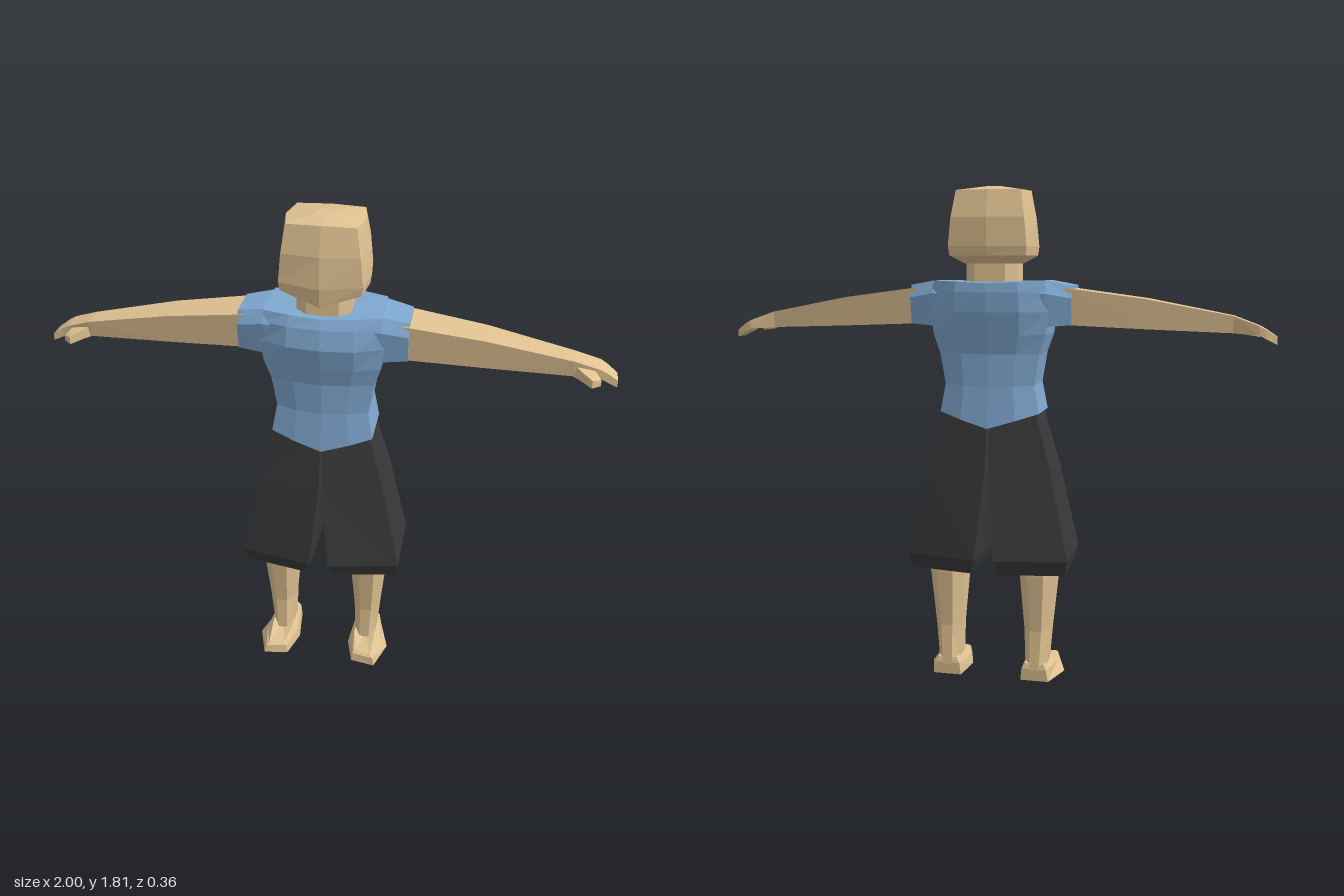
import * as THREE from 'three';

const paint = (color) => new THREE.MeshStandardMaterial({ color, flatShading: true });

// Closed solid through a series of rings; the winding is turned outwards by signed volume.
function loft(rings) {
  const tris = [];
  const n = rings[0].length;
  const centre = (r) => [0, 1, 2].map((k) => r.reduce((sum, p) => sum + p[k], 0) / n);
  const first = rings[0], last = rings[rings.length - 1];
  const c0 = centre(first), c1 = centre(last);
  for (let j = 0; j < n; j++) {
    const k = (j + 1) % n;
    for (let i = 0; i < rings.length - 1; i++) {
      const a = rings[i], b = rings[i + 1];
      tris.push([a[j], a[k], b[k]], [a[j], b[k], b[j]]);
    }
    tris.push([first[k], first[j], c0], [last[j], last[k], c1]);
  }
  let volume = 0;
  for (const [a, b, c] of tris) {
    volume += a[0] * (b[1] * c[2] - b[2] * c[1])
      + a[1] * (b[2] * c[0] - b[0] * c[2])
      + a[2] * (b[0] * c[1] - b[1] * c[0]);
  }
  if (volume < 0) tris.forEach((t) => t.reverse());
  const geo = new THREE.BufferGeometry();
  geo.setAttribute('position', new THREE.Float32BufferAttribute(tris.flat(2), 3));
  geo.computeVertexNormals();
  return geo;
}

// Full ring from the +x half, listed from front centre to back centre.
const symmetric = (half) => [
  ...half,
  ...half.slice(1, -1).reverse().map(([x, y, z]) => [-x, y, z]),
];

// Octagonal horizontal ring with cut corners.
function octagon(y, x0, x1, z0, z1, cut = 0.28) {
  const cx = (x1 - x0) * cut, cz = (z1 - z0) * cut;
  return [
    [x0 + cx, y, z1], [x1 - cx, y, z1], [x1, y, z1 - cz], [x1, y, z0 + cz],
    [x1 - cx, y, z0], [x0 + cx, y, z0], [x0, y, z0 + cz], [x0, y, z1 - cz],
  ];
}

// Four-cornered ring across the arm, a little narrower underneath.
const armRing = ([x, y0, y1, z0, z1, under = 0.85]) => [
  [x, y1, z1], [x, y1, z0], [x, y0, z0 * under], [x, y0, z1 * under],
];

export function createModel() {
  const model = new THREE.Group();
  const skin = paint(0xe0c292);
  const cloth = paint(0x7fa8d0);
  const dark = paint(0x383838);

  const add = (name, rings, material, parent = model) => {
    const mesh = new THREE.Mesh(loft(rings), material);
    mesh.name = name;
    parent.add(mesh);
  };

  // Head: y, drop of the front centre, side x, corner x, front z, front corner z, back z, back corner z
  const head = [
    [1.54, 0.015, 0.105, 0.09, 0.115, 0.08, -0.09, -0.08],
    [1.568, 0.043, 0.15, 0.138, 0.133, 0.11, -0.128, -0.115],
    [1.60, 0.01, 0.155, 0.142, 0.14, 0.115, -0.135, -0.12],
    [1.70, 0, 0.15, 0.132, 0.13, 0.115, -0.136, -0.12],
    [1.795, -0.005, 0.135, 0.117, 0.108, 0.095, -0.112, -0.10],
    [1.812, 0, 0.03, 0.025, 0.02, 0.02, -0.02, -0.02],
  ].map(([y, drop, w, c, f, fc, b, bc]) => symmetric([
    [0, y - drop, f], [c, y, fc], [w, y, 0], [c, y, bc], [0, y, b],
  ]));
  add('head', head, skin);
  add('neck', [
    octagon(1.44, -0.095, 0.095, -0.08, 0.085, 0.2),
    octagon(1.57, -0.093, 0.093, -0.075, 0.08, 0.2),
  ], skin);

  // Shirt body: y, hem drop, half width, side front z, side back z, front z, back z
  const torso = [
    [1.008, 0.055, 0.182, 0.092, -0.088, 0.122, -0.125],
    [1.11, 0.01, 0.164, 0.08, -0.08, 0.108, -0.112],
    [1.22, 0, 0.182, 0.08, -0.085, 0.11, -0.11],
    [1.29, 0, 0.205, 0.09, -0.09, 0.128, -0.125],
    [1.37, 0, 0.215, 0.095, -0.095, 0.145, -0.143],
    [1.44, 0, 0.21, 0.095, -0.095, 0.13, -0.147],
    [1.48, 0.008, 0.2, 0.085, -0.095, 0.112, -0.142],
  ].map(([y, drop, w, sf, sb, f, b]) => symmetric([
    [0, y - drop, f], [w * 0.55, y - drop * 0.45, f * 0.92], [w, y, sf],
    [w, y, sb], [w * 0.55, y - drop * 0.45, b * 0.94], [0, y - drop, b],
  ]));
  add('shirtBody', torso, cloth);

  for (const s of [1, -1]) {
    const side = new THREE.Group();
    side.name = s > 0 ? 'leftLimbs' : 'rightLimbs';
    model.add(side);
    const limb = (name, rings, material) =>
      add(name, rings.map((r) => r.map(([x, y, z]) => [x * s, y, z])), material, side);

    // Sleeve
    limb('sleeve', [
      [0.15, 1.28, 1.478, -0.11, 0.105],
      [0.205, 1.318, 1.48, -0.105, 0.105],
      [0.295, 1.325, 1.464, -0.082, 0.092],
    ].map(([x, y0, y1, z0, z1]) => [
      [x, y1, z1 * 0.75], [x, y1, z0 * 0.75], [x, y1 - 0.045, z0],
      [x, y0, z0 * 0.85], [x, y0, z1 * 0.85], [x, y1 - 0.045, z1],
    ]), cloth);

    // Arm running into the hand
    limb('armAndHand', [
      [0.27, 1.325, 1.455, -0.078, 0.083],
      [0.55, 1.313, 1.418, -0.06, 0.068],
      [0.85, 1.302, 1.361, -0.034, 0.05],
      [0.94, 1.296, 1.328, -0.05, 0.033, 1],
      [0.962, 1.284, 1.316, -0.047, 0.03, 1],
      [1.0, 1.265, 1.29, -0.034, 0.028, 1],
    ].map(armRing), skin);
    limb('thumb', [
      [[0.845, 1.345, 0.035], [0.845, 1.3, 0.035], [0.91, 1.295, 0.015], [0.91, 1.335, 0.015]],
      [[0.87, 1.333, 0.058], [0.87, 1.298, 0.058], [0.925, 1.29, 0.042], [0.925, 1.322, 0.042]],
      [[0.912, 1.315, 0.09], [0.912, 1.287, 0.09], [0.942, 1.285, 0.064], [0.942, 1.307, 0.064]],
    ], skin);

    // Wide trouser leg: y, inner x, ridge x, outer x, ridge z, outer z
    limb('shortsLeg', [
      [1.03, 0, 0.002, 0.165, 0.1, 0.08],
      [0.8, 0, 0.006, 0.228, 0.136, 0.103],
      [0.48, 0.027, 0.036, 0.298, 0.182, 0.133],
      [0.425, 0.045, 0.055, 0.285, 0.16, 0.118],
    ].map(([y, xi, xr, xo, zr, zo]) => [
      [xi, y, zr * 0.76], [xr, y, zr], [xo, y, zo],
      [xo, y, -zo], [xr, y, -zr], [xi, y, -zr * 0.76],
    ]), dark);

    // Lower leg
    limb('lowerLeg', [
      octagon(0.5, 0.1, 0.245, -0.09, 0.1),
      octagon(0.4, 0.104, 0.24, -0.087, 0.095),
      octagon(0.19, 0.121, 0.22, -0.066, 0.07),
      octagon(0.04, 0.127, 0.207, -0.075, 0.078),
    ], skin);

    // Foot, flared at the ball: sole ring then top ring
    limb('foot', [
      [[0.115, 0, -0.072], [0.22, 0, -0.072], [0.26, 0, 0.06],
        [0.222, 0, 0.18], [0.13, 0, 0.165], [0.1, 0, 0.06]],
      [[0.12, 0.045, -0.075], [0.212, 0.045, -0.075], [0.232, 0.038, 0.065],
        [0.215, 0.033, 0.175], [0.135, 0.033, 0.16], [0.108, 0.038, 0.065]],
      [[0.132, 0.066, -0.07], [0.203, 0.066, -0.07], [0.208, 0.066, 0.07],
        [0.205, 0.04, 0.165], [0.145, 0.04, 0.15], [0.127, 0.066, 0.07]],
    ], skin);
  }
  return model;
}
